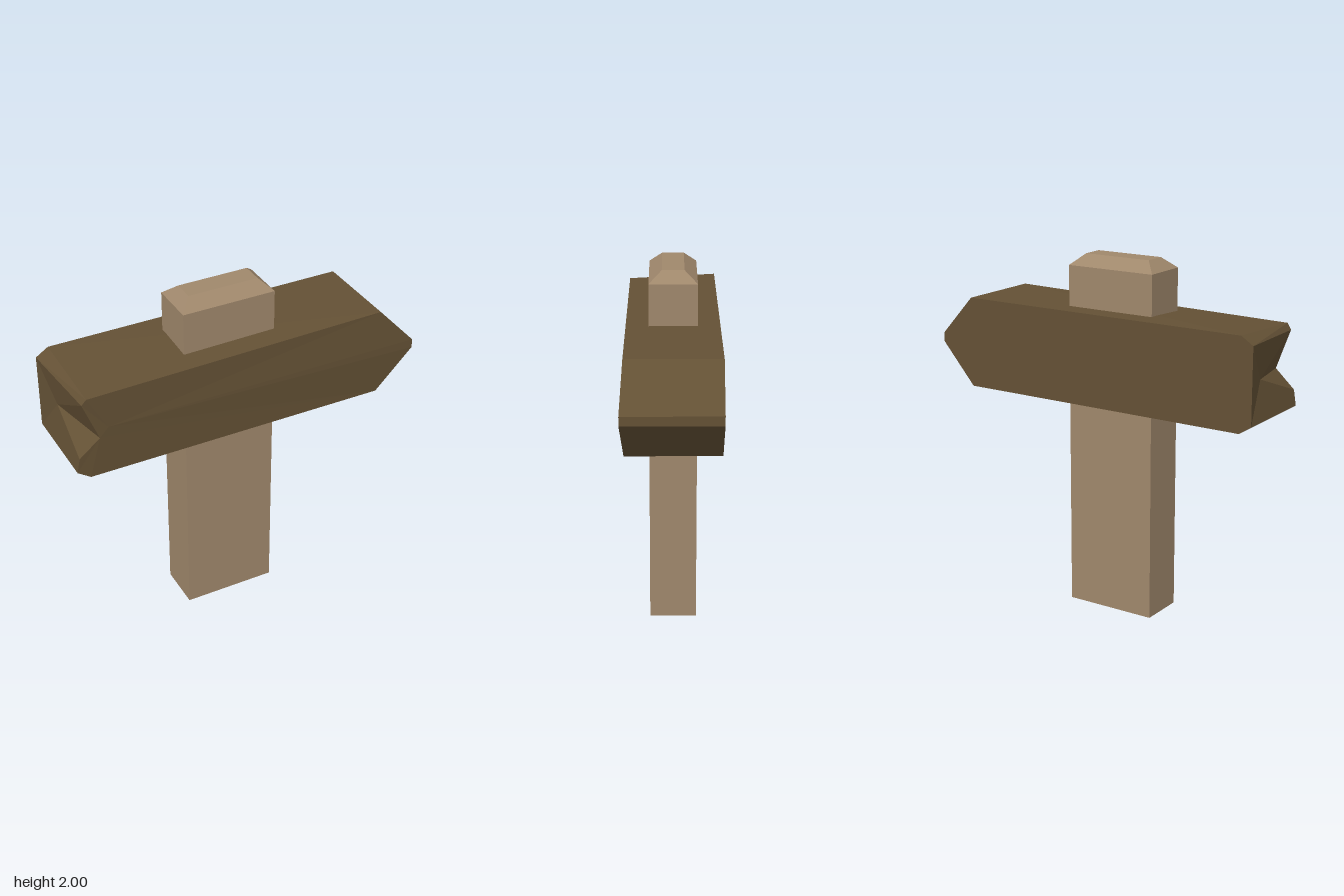
import * as THREE from 'three';

const postWood = new THREE.MeshStandardMaterial({ color: 0xa0886c });
postWood.name = 'lightWood';
const boardWood = new THREE.MeshStandardMaterial({ color: 0x645135 });
boardWood.name = 'darkWood';

// Faceted normals
function faceted(geometry) {
  const g = geometry.toNonIndexed();
  g.computeVertexNormals();
  return g;
}

// Square post whose top ring is drawn in to form a bevelled cap
function makePost() {
  const g = new THREE.BoxGeometry(0.53, 2, 0.26, 1, 2, 1);
  const p = g.attributes.position;
  for (let i = 0; i < p.count; i++) {
    const y = p.getY(i);
    if (y > 0.5) {
      p.setX(i, p.getX(i) - Math.sign(p.getX(i)) * 0.065);
      p.setZ(i, p.getZ(i) - Math.sign(p.getZ(i)) * 0.07);
    } else if (y > -0.5) {
      p.setY(i, 0.94);
    }
  }
  g.translate(-0.065, 1, -0.01);
  const mesh = new THREE.Mesh(faceted(g), postWood);
  mesh.name = 'post';
  return mesh;
}

// Arrow board: back outline joined to a slightly bulged front outline
function makeBoard() {
  const back = [[-0.93, 1.205], [0.79, 1.205], [0.995, 1.44], [0.995, 1.49],
    [0.79, 1.715], [-0.93, 1.715], [-1, 1.67], [-1, 1.25]];
  const front = [[-0.93, 1.205, 0.24], [0.79, 1.205, 0.242], [1, 1.44, 0.258], [1, 1.49, 0.258],
    [0.79, 1.715, 0.242], [-0.93, 1.688, 0.245], [-0.955, 1.655, 0.238], [-1, 1.25, 0.235]];
  // Split in the tail: lower lip, two notch corners, and its deepest point
  const notch = [[-0.985, 1.335, 0.238], [-0.87, 1.435, 0.245], [-0.82, 1.49, 0.247], [-0.96, 1.46, -0.1]];
  const points = [...back.map(([x, y]) => [x, y, -0.26]), ...front, ...notch];
  const lip = 16, low = 17, high = 18, deep = 19;
  const faces = [];

  // Edges around the outline, except the split tail
  for (let i = 0; i < 8; i++) {
    if (i === 6) continue;
    const j = (i + 1) % 8;
    faces.push(i + 8, i, j, i + 8, j, j + 8);
  }
  // Back face
  for (let i = 1; i < 7; i++) faces.push(0, i + 1, i);
  // Front face, fanned out from the notch corners
  faces.push(low, lip, 15, low, 15, 8, low, 8, 9, high, low, 9);
  for (let i = 9; i < 14; i++) faces.push(high, i, i + 1);
  faces.push(high, 14, low);
  // Split tail
  const rim = [14, 6, 7, 15, lip, low];
  rim.forEach((a, i) => faces.push(deep, a, rim[(i + 1) % rim.length]));

  const g = new THREE.BufferGeometry();
  g.setAttribute('position', new THREE.Float32BufferAttribute(points.flat(), 3));
  g.setIndex(faces);
  const mesh = new THREE.Mesh(faceted(g), boardWood);
  mesh.name = 'arrowBoard';
  return mesh;
}

export function createModel() {
  const group = new THREE.Group();
  group.name = 'signpost';
  group.add(makePost(), makeBoard());
  return group;
}
